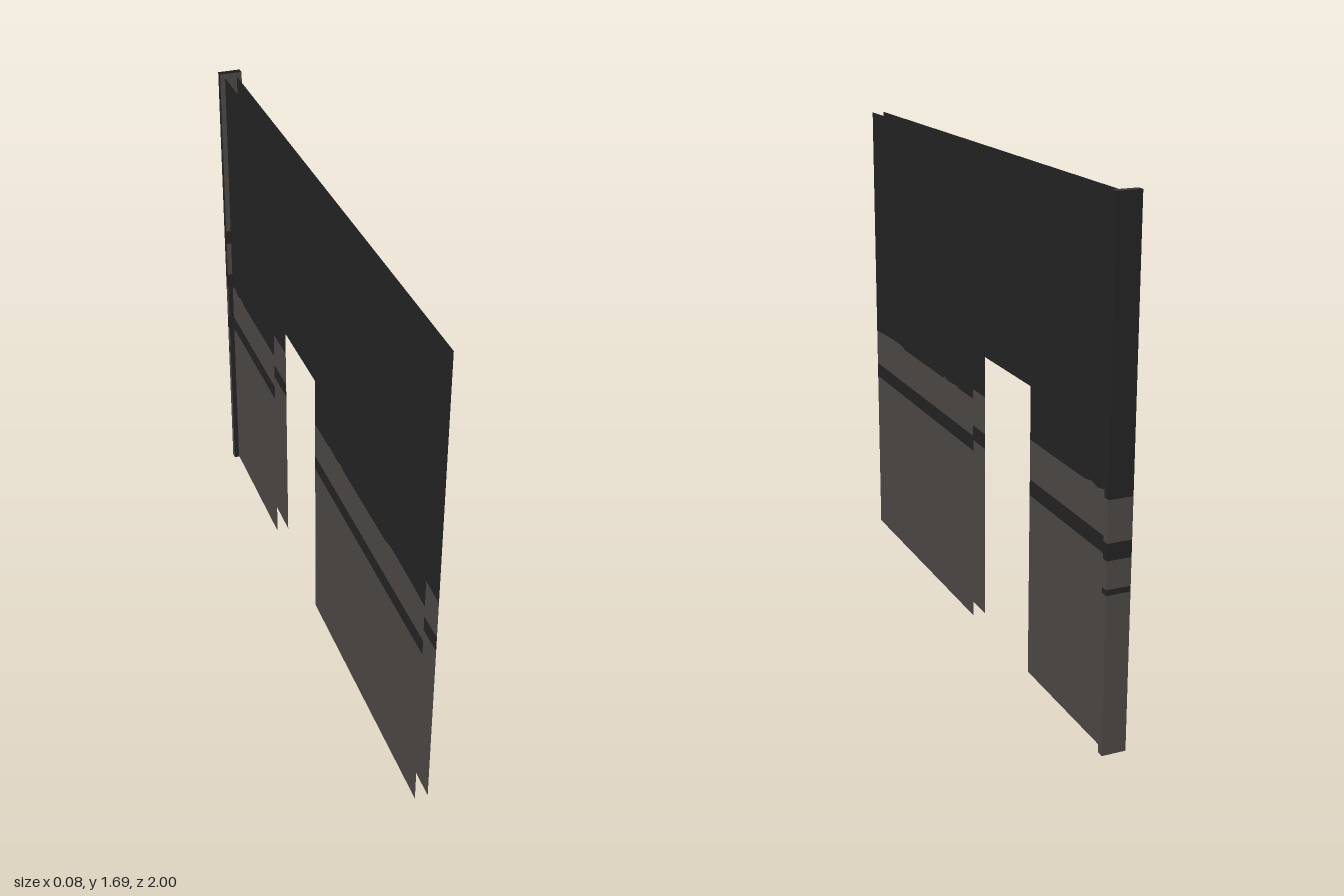
import * as THREE from 'three';

export function createModel() {
  const dark = new THREE.MeshStandardMaterial({ color: 0x232323, side: THREE.DoubleSide });
  dark.name = 'charcoal paint';
  const light = new THREE.MeshStandardMaterial({ color: 0x4c4744, side: THREE.DoubleSide });
  light.name = 'warm grey paint';

  const model = new THREE.Group();
  model.name = 'doorwayWall';

  // Wall outline in z and y
  const front = 1, back = -0.975, doorFront = 0.02, doorBack = -0.44;
  const base = 0.005, top = 1.675, doorTop = 0.99;
  const stripeLow = 0.628, stripeHigh = 0.682;

  // Slightly worn paint line on each side of the doorway, from front to back
  const wornFront = [[front, 0.815], [0.92, 0.82], [0.82, 0.825], [0.72, 0.825], [0.68, 0.816], [0.3, 0.815],
    [0.28, 0.823], [0.25, 0.815], [0.17, 0.82], [0.15, 0.815], [doorFront, 0.815]];
  const wornBack = [[doorBack, 0.815], [-0.82, 0.815], [-0.86, 0.823], [-0.9, 0.815], [-0.94, 0.824], [back, 0.82]];

  const rect = (z0, z1, y0, y1) => [[z0, y0], [z1, y0], [z1, y1], [z0, y1]];

  // Flat upright piece drawn in the z-y plane
  function sheetPiece(parent, name, points, material) {
    const shape = new THREE.Shape(points.map(([z, y]) => new THREE.Vector2(z, y)));
    const mesh = new THREE.Mesh(new THREE.ShapeGeometry(shape).rotateY(-Math.PI / 2), material);
    mesh.name = name;
    parent.add(mesh);
  }

  // Two parallel wall sheets, open along their edges
  for (const side of [-1, 1]) {
    const sheet = new THREE.Group();
    sheet.name = side > 0 ? 'leftWallSheet' : 'rightWallSheet';
    sheet.position.x = side * 0.022;
    if (side < 0) sheet.rotation.y = 0;
    for (const worn of [wornFront, wornBack]) {
      const z0 = worn[0][0], z1 = worn[worn.length - 1][0];
      sheetPiece(sheet, 'lowerWall', rect(z0, z1, base, stripeLow), light);
      sheetPiece(sheet, 'stripe', rect(z0, z1, stripeLow, stripeHigh), dark);
      sheetPiece(sheet, 'middleBand', [[z0, stripeHigh], ...worn, [z1, stripeHigh]], light);
    }
    sheetPiece(sheet, 'upperWall', [...wornFront, [doorFront, doorTop], [doorBack, doorTop], ...wornBack,
      [back, top], [front, top]], dark);
    model.add(sheet);
  }

  // Hollow end post made of four banded faces, open at top and bottom
  const postHeight = 1.69, half = 0.04, depth = 0.025;
  const post = new THREE.Group();
  post.name = 'endPost';
  post.position.z = -1 + depth / 2;
  model.add(post);

  function postFace(name, width, angle, distance, flipped, markFrom, markTo) {
    const face = new THREE.Group();
    face.name = name;
    const add = (part, x0, x1, y0, y1, material) => {
      const mesh = new THREE.Mesh(new THREE.PlaneGeometry(x1 - x0, y1 - y0), material);
      const y = (y0 + y1) / 2;
      mesh.position.set((x0 + x1) / 2, flipped ? postHeight - y : y, distance);
      mesh.name = part;
      face.add(mesh);
    };
    const h = width / 2;
    add('lowerBand', -h, h, 0, 0.52, light);
    // Short dark mark across part of the face
    if (markFrom > -h) add('markSurround', -h, markFrom, 0.52, 0.538, light);
    add('mark', markFrom, markTo, 0.52, 0.538, dark);
    if (markTo < h) add('markSurround', markTo, h, 0.52, 0.538, light);
    add('belowStripe', -h, h, 0.538, stripeLow, light);
    add('stripe', -h, h, stripeLow, stripeHigh, dark);
    add('middleBand', -h, h, stripeHigh, 0.815, light);
    add('upperBand', -h, h, 0.815, postHeight, dark);
    face.rotation.y = angle;
    post.add(face);
  }
  postFace('frontFace', half * 2, 0, depth / 2, true, 0, half);
  postFace('backFace', half * 2, Math.PI, depth / 2, false, -half, half);
  postFace('leftFace', depth, Math.PI / 2, half, false, -depth / 2, depth / 2);
  postFace('rightFace', depth, -Math.PI / 2, half, false, -depth / 2, depth / 2);

  return model;
}
